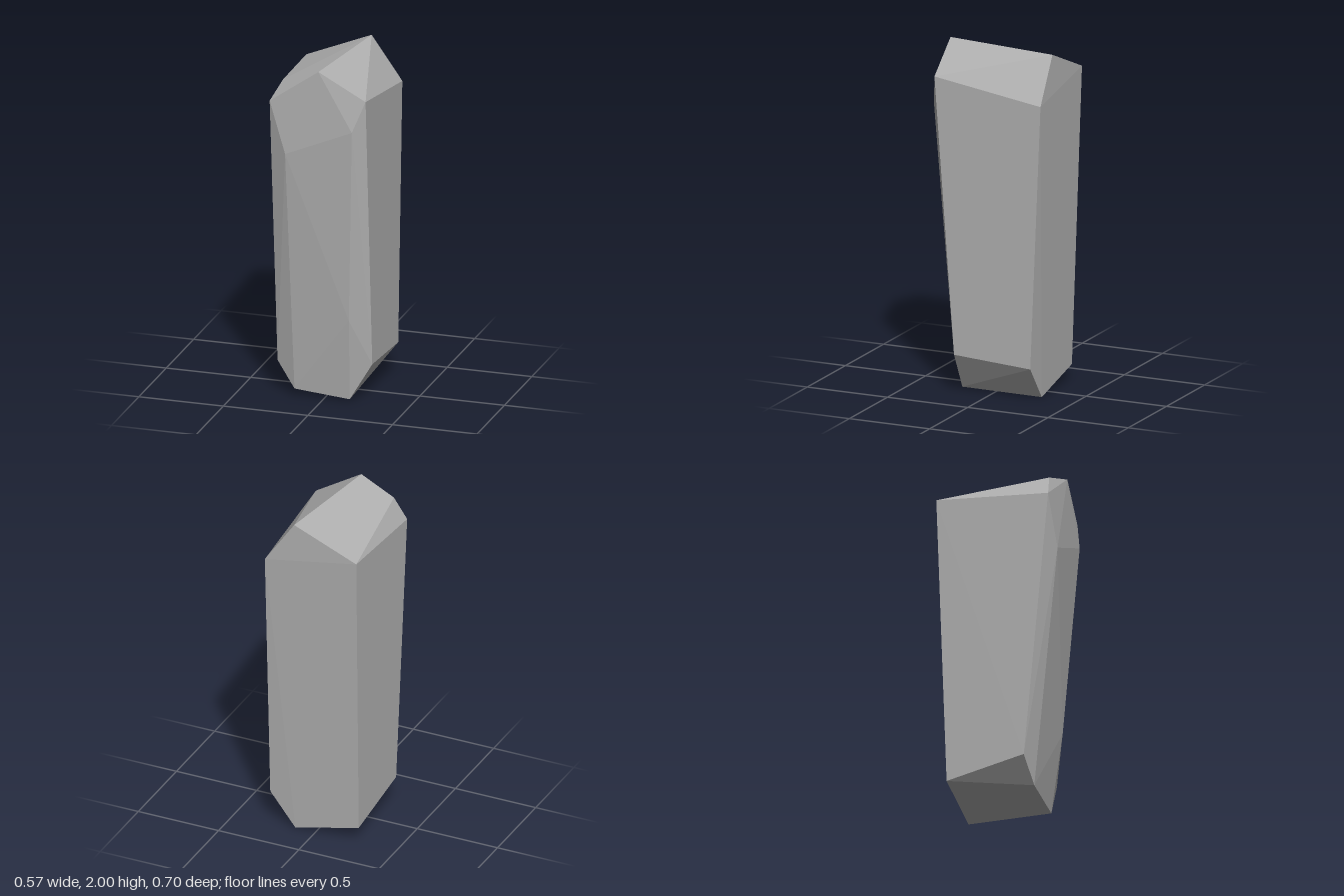
import * as THREE from 'three';
import { ConvexGeometry } from 'three/addons/geometries/ConvexGeometry.js';

export function createModel() {
  const group = new THREE.Group();
  group.name = 'standingStone';

  const stone = new THREE.MeshStandardMaterial({ color: 0xb0b0b0, flatShading: true });
  stone.name = 'stone grey';

  // Chiselled crown
  const crown = [
    [0.01, 2.0, 0.34], [0.105, 2.0, -0.34], [-0.21, 1.92, 0.305], [-0.282, 1.84, -0.34],
  ];
  // Upper edge of the shaft, with the bulging front facet
  const shoulder = [
    [0.28, 1.84, 0.312], [0.283, 1.74, -0.35], [-0.284, 1.79, 0.322],
    [0.21, 1.66, 0.348], [-0.185, 1.49, 0.346],
  ];
  // Lower edge of the shaft
  const base = [
    [0.28, 0.23, 0.19], [0.28, 0.2, -0.285], [-0.284, 0.19, 0.178], [0.165, 0.5, 0.262],
  ];
  // Slanted foot
  const foot = [
    [-0.175, 0.04, 0.205], [0.15, 0.01, 0.2], [0.125, 0.0, -0.283], [-0.27, 0.095, -0.283],
  ];

  const corners = [...crown, ...shoulder, ...base, ...foot].map((p) => new THREE.Vector3(...p));
  const body = new THREE.Mesh(new ConvexGeometry(corners), stone);
  body.name = 'stoneBody';
  group.add(body);
  return group;
}
